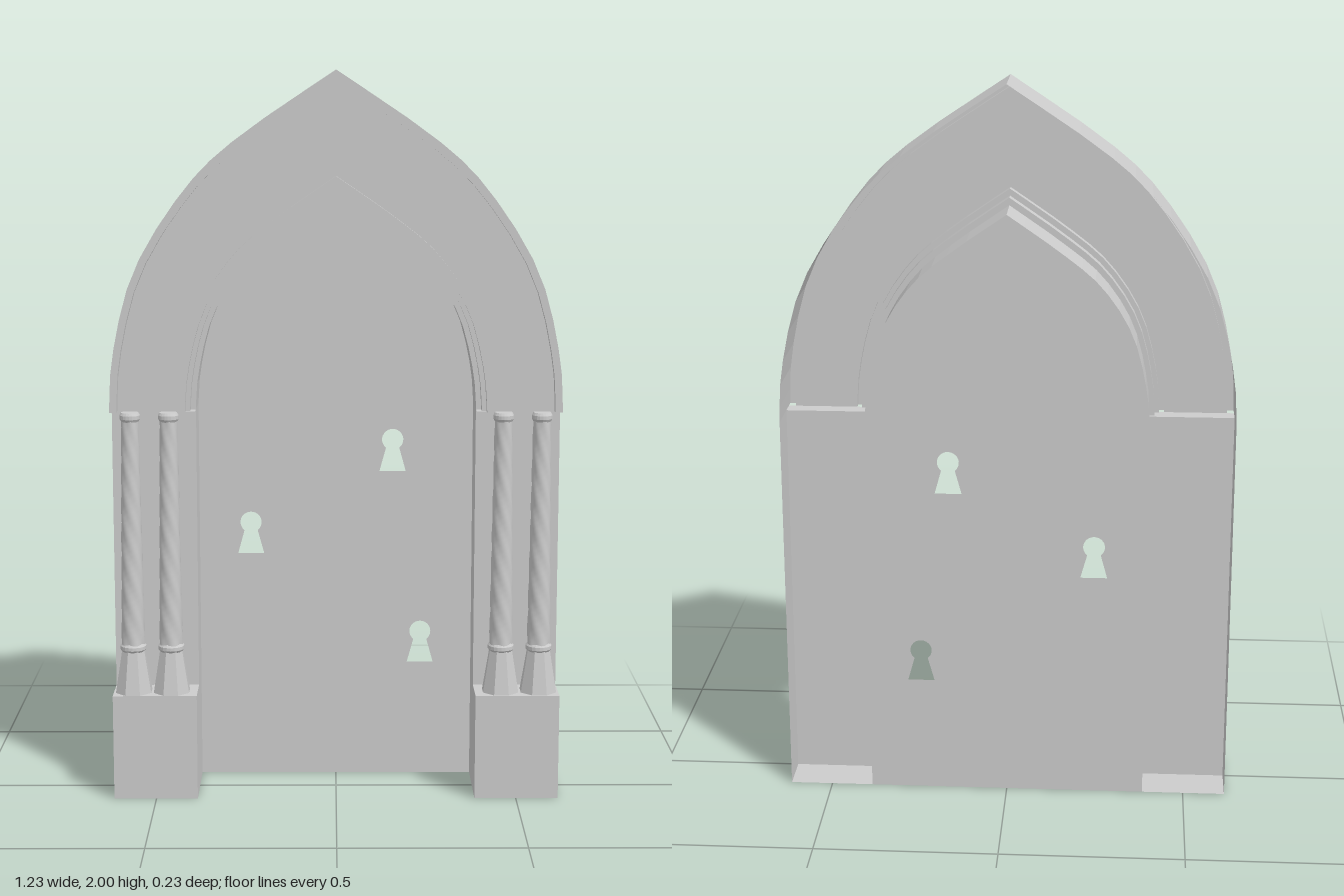
import * as THREE from 'three';

const BACK = -0.115, SPRING = 1.08;
const sheetMat = new THREE.MeshStandardMaterial({ color: 0xcccccc, flatShading: true, side: THREE.DoubleSide });
const smoothMat = new THREE.MeshStandardMaterial({ color: 0xcccccc, side: THREE.DoubleSide });

function add(parent, name, geometry, x = 0, y = 0, z = 0, material = sheetMat) {
  const mesh = new THREE.Mesh(geometry, material);
  mesh.name = name;
  mesh.position.set(x, y, z);
  parent.add(mesh);
  return mesh;
}

// Surface through equally long rows of points
function loft(rows) {
  const n = rows[0].length, index = [];
  for (let i = 0; i < rows.length - 1; i++) {
    for (let j = 0; j < n - 1; j++) {
      const a = i * n + j, b = a + n;
      index.push(a, b, b + 1, a, b + 1, a + 1);
    }
  }
  const g = new THREE.BufferGeometry();
  g.setAttribute('position', new THREE.Float32BufferAttribute(rows.flat(2), 3));
  g.setIndex(index);
  g.computeVertexNormals();
  return g;
}

// Pointed arch from the +x springing over the apex to the -x springing
function archPoints(half, segments = 14) {
  const curve = new THREE.SplineCurve(half.map(([x, y]) => new THREE.Vector2(x, y)));
  const right = curve.getPoints(segments);
  const left = right.slice(0, -1).reverse().map(p => new THREE.Vector2(-p.x, p.y));
  return [...right, ...left];
}

const outer = archPoints([[0.617, 1.08], [0.605, 1.24], [0.545, 1.465], [0.41, 1.68], [0.265, 1.82], [0, 2]]);
const inner = archPoints([[0.385, 1.08], [0.375, 1.19], [0.335, 1.34], [0.255, 1.465], [0.15, 1.555], [0, 1.66]]);

// Hollow arch moulding: [blend from outer to inner outline, z]
function archGeometry() {
  const profile = [[0, BACK], [0, 0.07], [0.085, 0.07], [0.085, 0.045], [0.826, 0.045], [0.826, 0.065],
    [0.885, 0.065], [0.885, 0.04], [0.94, 0.04], [0.94, 0.01], [1, 0.01], [1, BACK]];
  return loft(outer.map((p, i) => profile.map(([t, z]) => {
    const q = p.clone().lerp(inner[i], t);
    return [q.x, q.y, z];
  })));
}

// Keyhole outline, given the centre of its round top
function keyhole(x, y) {
  const path = new THREE.Path();
  path.absarc(x, y, 0.03, -0.9, Math.PI + 0.9, false);
  path.lineTo(x - 0.037, y - 0.09);
  path.lineTo(x + 0.037, y - 0.09);
  path.closePath();
  return path;
}

function doorGeometry() {
  const shape = new THREE.Shape([new THREE.Vector2(-0.385, 0), new THREE.Vector2(0.385, 0), ...inner]);
  shape.holes.push(keyhole(0.16, 0.975), keyhole(-0.24, 0.738), keyhole(0.24, 0.42));
  return new THREE.ShapeGeometry(shape, 10);
}

// Tapered shaft with spiral flutes
function shaftGeometry() {
  const y0 = 0.43, y1 = 1.06, rows = [];
  for (let i = 0; i <= 40; i++) {
    const t = i / 40, row = [];
    for (let j = 0; j <= 40; j++) {
      const a = -j / 40 * Math.PI * 2;
      const r = (0.032 - 0.008 * t) * (0.93 + 0.1 * Math.abs(Math.cos(2.5 * (a - t * 9))));
      row.push([r * Math.cos(a), y0 + (y1 - y0) * t, r * Math.sin(a)]);
    }
    rows.push(row);
  }
  return loft(rows);
}

function ring(radius, y, height) {
  const pts = [[0, 0], [radius * 0.85, 0], [radius, height * 0.3], [radius, height * 0.7], [radius * 0.85, height], [0, height]];
  return new THREE.LatheGeometry(pts.map(([r, h]) => new THREE.Vector2(r, y + h)), 20);
}

function column(x) {
  const g = new THREE.Group();
  g.name = 'column';
  g.position.set(x, 0, 0.06);
  const foot = new THREE.CylinderGeometry(0.033, 0.053, 0.12, 8);
  foot.rotateY(Math.PI / 8);
  add(g, 'columnFoot', foot, 0, 0.355, 0);
  add(g, 'footRing', ring(0.036, 0.41, 0.024));
  add(g, 'twistedShaft', shaftGeometry(), 0, 0, 0, smoothMat);
  add(g, 'capitalRing', ring(0.028, 1.055, 0.025));
  return g;
}

export function createModel() {
  const model = new THREE.Group();
  model.name = 'archedDoorway';
  add(model, 'arch', archGeometry());
  add(model, 'door', doorGeometry(), 0, 0, BACK);

  for (const s of [1, -1]) {
    const side = new THREE.Group();
    side.name = s > 0 ? 'leftJamb' : 'rightJamb';
    model.add(side);

    // Jamb: open channel with its hollow at the back
    const profile = [[0.617, BACK], [0.617, 0], [0.385, 0], [0.385, BACK]];
    const ys = s > 0 ? [0, SPRING] : [SPRING, 0];
    add(side, 'jambChannel', loft(ys.map(y => profile.map(([x, z]) => [s * x, y, z]))));

    // Plinth, floor plate and underside of the arch
    const cx = s * 0.501;
    add(side, 'plinth', new THREE.BoxGeometry(0.232, 0.295, 0.112), cx, 0.1475, 0.056);
    const floor = new THREE.PlaneGeometry(0.232, -BACK);
    floor.rotateX(Math.PI / 2);
    add(side, 'floorPlate', floor, cx, 0, BACK / 2);
    const soffit = new THREE.PlaneGeometry(0.232, 0.045);
    soffit.rotateX(Math.PI / 2);
    add(side, 'archUnderside', soffit, cx, SPRING, 0.0225);

    for (const x of [0.457, 0.562]) side.add(column(s * x));
  }
  return model;
}
